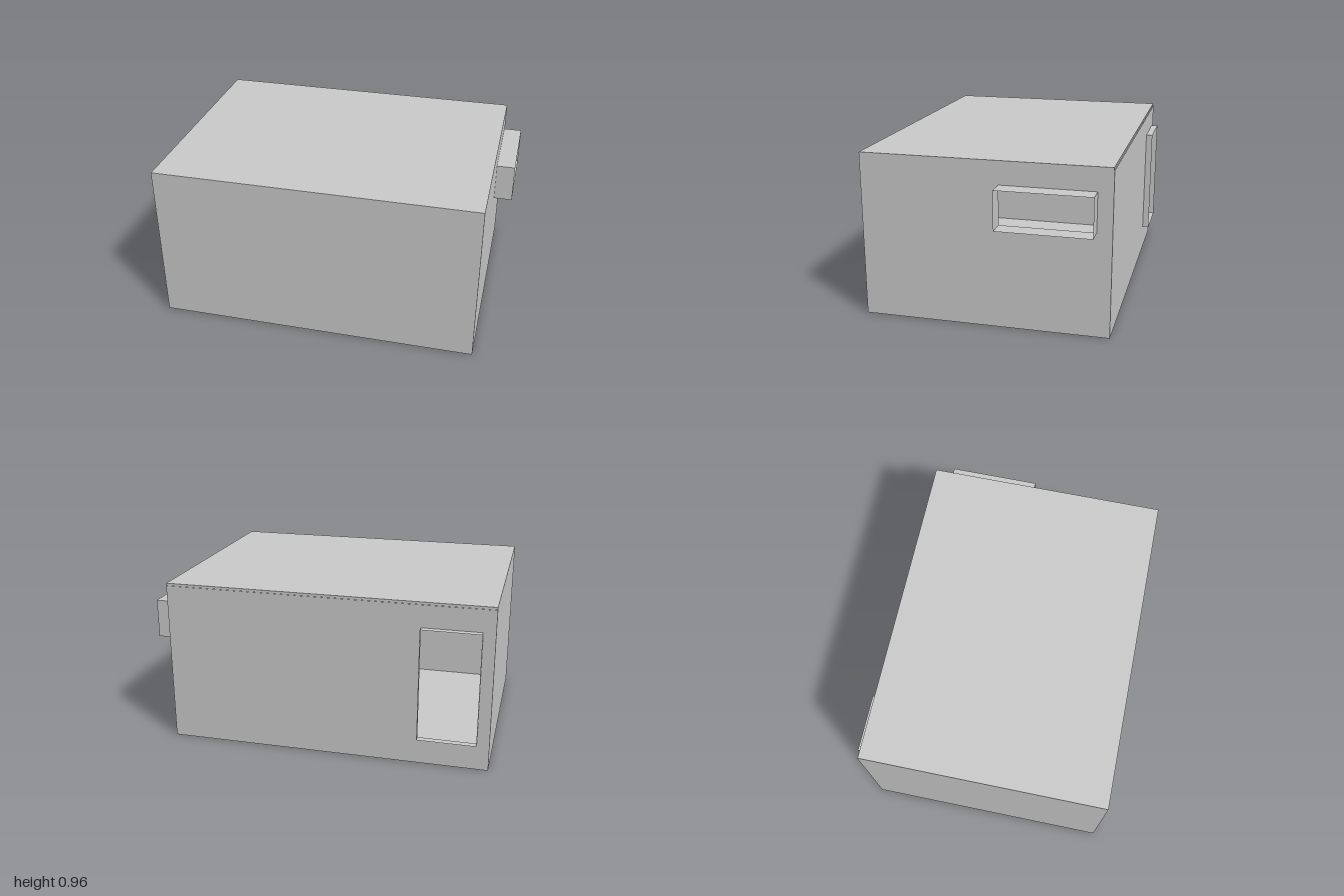
import * as THREE from 'three';

const material = new THREE.MeshStandardMaterial({ color: 0xcccccc, side: THREE.DoubleSide });

// Shell extents and the two openings (u runs along the wall, v is height)
const X0 = -1, X1 = 0.89, Z0 = -0.69, Z1 = 0.73, TOP = 0.96, LID = 0.945;
const door = { u0: -0.93, u1: -0.595, v0: 0.16, v1: 0.815 };
const hatch = { u0: 0.067, u1: 0.605, v0: 0.6, v1: 0.825 };

function rect(Type, { u0, u1, v0, v1 }) {
  const s = new Type();
  s.moveTo(u0, v0).lineTo(u1, v0).lineTo(u1, v1).lineTo(u0, v1).closePath();
  return s;
}

// Thin wall in the u-v plane, with an optional opening
function wallGeometry(u0, u1, opening) {
  const shape = rect(THREE.Shape, { u0, u1, v0: 0, v1: LID });
  if (opening) shape.holes.push(rect(THREE.Path, opening));
  return new THREE.ShapeGeometry(shape);
}

// Four-sided open sleeve projecting from an opening between depths d0 and d1
function sleeveGeometry({ u0, u1, v0, v1 }, d0, d1) {
  const g = new THREE.BoxGeometry(u1 - u0, v1 - v0, d1 - d0);
  g.setIndex(Array.from(g.index.array).slice(0, 24)); // drop both ends
  g.clearGroups();
  return g.translate((u0 + u1) / 2, (v0 + v1) / 2, (d0 + d1) / 2);
}

function slabGeometry(y0, y1, z0) {
  return new THREE.BoxGeometry(X1 - X0, y1 - y0, Z1 - z0)
    .translate((X0 + X1) / 2, (y0 + y1) / 2, (z0 + Z1) / 2);
}

export function createModel() {
  const model = new THREE.Group();
  model.name = 'room';
  const add = (name, geometry) => {
    const mesh = new THREE.Mesh(geometry, material);
    mesh.name = name;
    model.add(mesh);
  };
  // Side walls are drawn with u = -z, then turned to face +x
  const toSide = (g, x) => g.rotateY(Math.PI / 2).translate(x, 0, 0);

  // Floor and roof slabs
  add('floor', slabGeometry(0, 0.005, Z0));
  add('roof', slabGeometry(LID, TOP, Z0 + 0.003));

  // Walls
  add('frontWall', wallGeometry(X0, X1).translate(0, 0, Z1));
  add('backWall', wallGeometry(X0, X1, door).translate(0, 0, Z0));
  add('leftWall', toSide(wallGeometry(-Z1, -Z0, hatch), X1));
  add('rightWall', toSide(wallGeometry(-Z1, -Z0), X0));

  // Projecting frames around the openings
  add('doorFrame', sleeveGeometry(door, -0.73, Z0));
  add('windowFrame', toSide(sleeveGeometry(hatch, 0, 1 - X1), X1));

  // Short return wall inside, beside the door
  add('returnWall', toSide(wallGeometry(0.545, -Z0), -0.4));

  return model;
}
